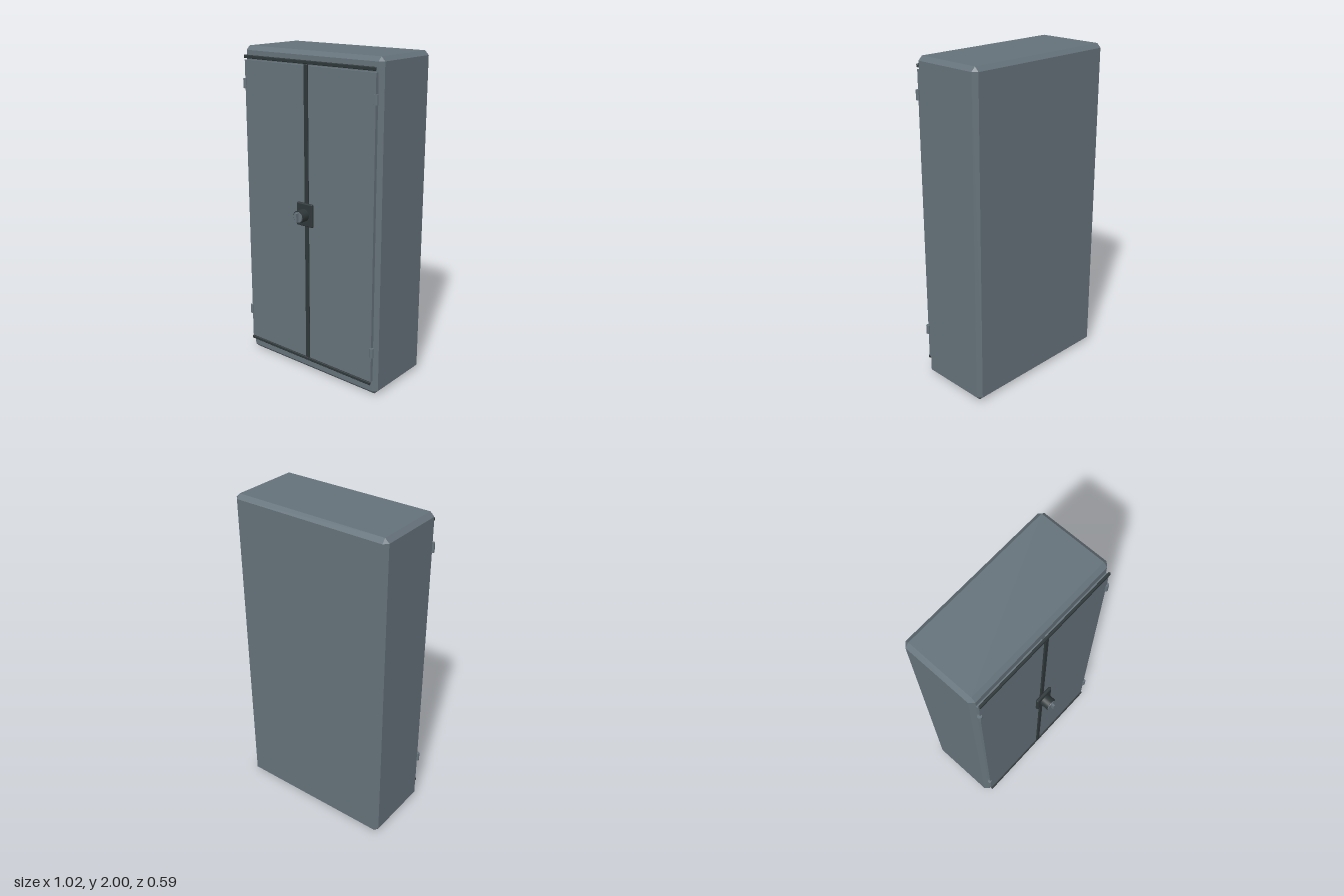
import * as THREE from 'three';
import { ConvexGeometry } from 'three/addons/geometries/ConvexGeometry.js';

const steel = new THREE.MeshStandardMaterial({ color: 0x65727a });
steel.name = 'blue grey steel';
const dark = new THREE.MeshStandardMaterial({ color: 0x2f3738 });
dark.name = 'dark rubber';

// Box with every edge and corner cut at 45 degrees
function chamferBox(w, h, d, c) {
  const pts = [];
  for (const sx of [-1, 1]) for (const sy of [-1, 1]) for (const sz of [-1, 1]) {
    const x = w / 2, y = h / 2, z = d / 2;
    pts.push(
      new THREE.Vector3(sx * x, sy * (y - c), sz * (z - c)),
      new THREE.Vector3(sx * (x - c), sy * y, sz * (z - c)),
      new THREE.Vector3(sx * (x - c), sy * (y - c), sz * z)
    );
  }
  return new ConvexGeometry(pts);
}

export function createModel() {
  const model = new THREE.Group();
  model.name = 'cabinet';

  function add(name, geometry, material, x, y, z, parent = model) {
    const mesh = new THREE.Mesh(geometry, material);
    mesh.name = name;
    mesh.position.set(x, y, z);
    parent.add(mesh);
    return mesh;
  }

  // Housing
  add('housing', chamferBox(1.022, 2, 0.469, 0.025), steel, 0, 1, -0.0635);

  // Doors and their hinges, mirrored
  for (const [side, s] of [['left', 1], ['right', -1]]) {
    add(side + 'Door', new THREE.BoxGeometry(0.475, 1.822, 0.021), steel, s * 0.2495, 1.008, 0.1805);
    for (const [level, y] of [['Upper', 1.778], ['Lower', 0.291]]) {
      const hinge = new THREE.CylinderGeometry(0.013, 0.013, 0.058, 8).toNonIndexed();
      hinge.rotateY(Math.PI / 8);
      hinge.computeVertexNormals();
      add(side + level + 'Hinge', hinge, steel, s * 0.489, y, 0.19);
    }
  }

  // Dark seals above, below and between the doors
  add('topSeal', chamferBox(0.974, 0.02, 0.014, 0.003), dark, 0, 1.939, 0.193);
  add('bottomSeal', chamferBox(0.974, 0.02, 0.014, 0.003), dark, 0, 0.088, 0.193);
  add('centreSeal', chamferBox(0.028, 1.83, 0.012, 0.003), dark, 0, 1.013, 0.194);

  // Lock
  const lock = new THREE.Group();
  lock.name = 'lock';
  lock.position.set(0, 1.048, 0);
  model.add(lock);
  add('lockPlate', chamferBox(0.122, 0.142, 0.02, 0.005), dark, 0, 0, 0.21, lock);
  const barrel = new THREE.CylinderGeometry(0.038, 0.038, 0.052, 24).rotateX(Math.PI / 2);
  add('lockBarrel', barrel, dark, 0, 0, 0.246, lock);
  const face = new THREE.CylinderGeometry(0.032, 0.032, 0.005, 24).rotateX(Math.PI / 2);
  add('lockFace', face, steel, 0, 0, 0.274, lock);
  add('lockTab', new THREE.BoxGeometry(0.013, 0.05, 0.02), steel, 0, 0, 0.286, lock);

  return model;
}
